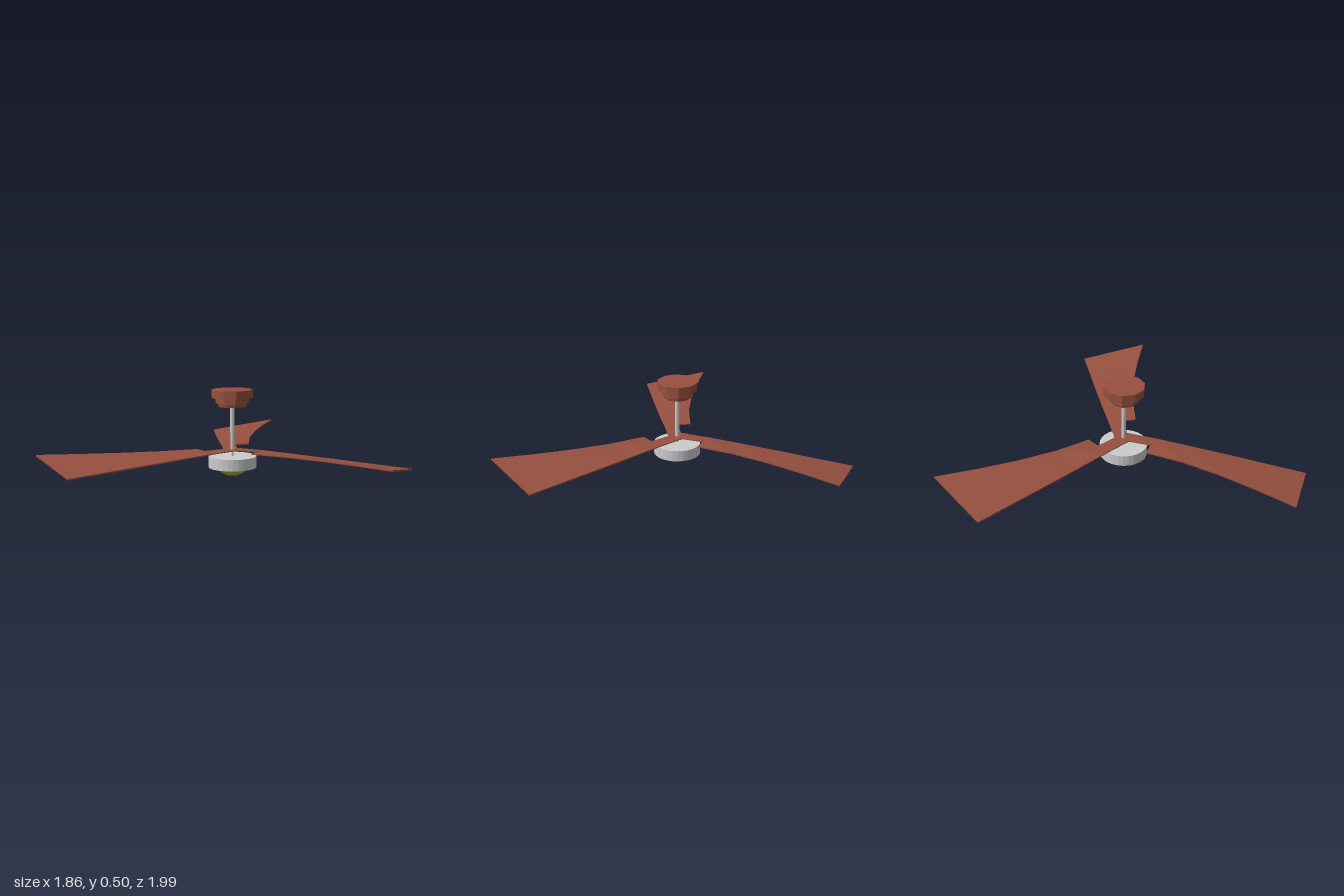
import * as THREE from 'three';

const wood = new THREE.MeshStandardMaterial({ color: 0x96503f, flatShading: true });
const metal = new THREE.MeshStandardMaterial({ color: 0xcccccc, flatShading: true });
const lampGlass = new THREE.MeshStandardMaterial({ color: 0xb4b428, flatShading: true });

function lathe(name, profile, sides, material) {
  const points = profile.map(([r, y]) => new THREE.Vector2(r, y));
  const mesh = new THREE.Mesh(new THREE.LatheGeometry(points, sides), material);
  mesh.name = name;
  return mesh;
}

// Twisted blade along +x, lofted through rectangular cross-sections
function bladeGeometry() {
  // x, back edge z, front edge z, thickness
  const stations = [
    [0, -0.05, 0.03, 0.004],
    [0.168, -0.05, 0.03, 0.005],
    [0.168, -0.05, 0.11, 0.006],
    [0.385, -0.05, 0.14, 0.007],
    [0.61, -0.048, 0.2, 0.008],
    [0.81, -0.044, 0.27, 0.008],
    [1.035, -0.04, 0.36, 0.008],
  ];
  const pos = [];
  const index = [];
  for (const [x, zb, zf, th] of stations) {
    const t = Math.max(0, (x - 0.1) / 0.935);
    const yb = 0.152 - 0.043 * t;
    const yf = 0.152 + 0.022 * t;
    const h = th / 2;
    pos.push(x, yb - h, zb, x, yb + h, zb, x, yf + h, zf, x, yf - h, zf);
  }
  const last = (stations.length - 1) * 4;
  for (let s = 0; s < last; s += 4) {
    for (let i = 0; i < 4; i++) {
      const a = s + i, b = s + ((i + 1) % 4);
      index.push(a, b, b + 4, a, b + 4, a + 4);
    }
  }
  index.push(0, 3, 2, 0, 2, 1);
  index.push(last, last + 1, last + 2, last, last + 2, last + 3);
  const geo = new THREE.BufferGeometry();
  geo.setAttribute('position', new THREE.Float32BufferAttribute(pos, 3));
  geo.setIndex(index);
  geo.computeVertexNormals();
  return geo;
}

export function createModel() {
  const fan = new THREE.Group();
  fan.name = 'ceilingFan';

  // Stepped ceiling canopy
  fan.add(lathe('canopy', [
    [0, 0.4], [0.08, 0.4], [0.084, 0.418], [0.095, 0.42],
    [0.095, 0.45], [0.118, 0.45], [0.118, 0.497], [0, 0.497],
  ], 10, wood));

  // Hanging rod with a thin spindle into the motor
  fan.add(lathe('rod', [
    [0, 0.11], [0.006, 0.11], [0.006, 0.15], [0.0125, 0.15], [0.0125, 0.41], [0, 0.41],
  ], 12, metal));

  // Motor housing, recessed underneath
  fan.add(lathe('motorHousing', [
    [0, 0.075], [0.112, 0.075], [0.112, 0.05], [0.137, 0.05], [0.137, 0.115], [0, 0.115],
  ], 28, metal));

  // Lamp bowl
  fan.add(lathe('lampBowl', [
    [0, 0], [0.035, 0.006], [0.065, 0.02], [0.086, 0.038], [0.095, 0.056], [0.097, 0.076],
  ], 16, lampGlass));

  // Three blades
  const geo = bladeGeometry();
  for (let i = 0; i < 3; i++) {
    const blade = new THREE.Mesh(geo, wood);
    blade.name = 'blade' + (i + 1);
    blade.rotation.y = (i * 2 * Math.PI) / 3;
    fan.add(blade);
  }

  // Shift the axis so the bounding box is centred
  fan.position.set(-0.107, 0, 0.07);
  const model = new THREE.Group();
  model.add(fan);
  return model;
}
